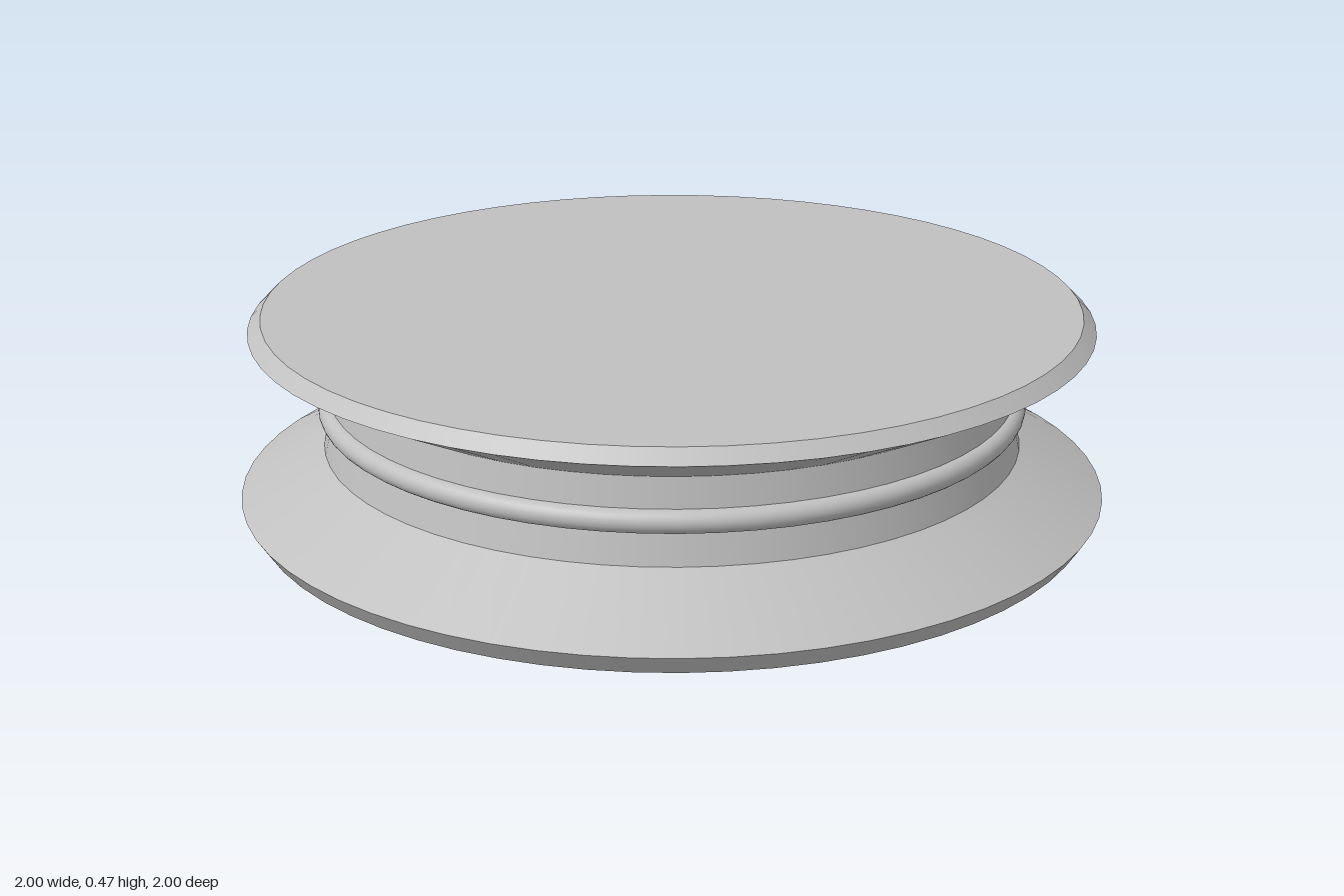
import * as THREE from 'three';

const SEGMENTS = 64;
const BEAD_RADIUS = 0.026, BEAD_Y = 0.253, BEAD_CENTRE = 0.79;

export function createModel() {
  const model = new THREE.Group();
  model.name = 'flangedSpool';
  const grey = new THREE.MeshStandardMaterial({ color: 0xc0c0c0 });
  grey.name = 'plain grey';

  // Revolve one smooth band; separate bands keep the edges between them sharp
  const band = (parent, name, points) => {
    const profile = points.map(([r, y]) => new THREE.Vector2(r, y));
    const mesh = new THREE.Mesh(new THREE.LatheGeometry(profile, SEGMENTS), grey);
    mesh.name = name;
    parent.add(mesh);
  };
  const part = (name) => {
    const group = new THREE.Group();
    group.name = name;
    model.add(group);
    return group;
  };

  // Wide lower flange
  const lower = part('lowerFlange');
  band(lower, 'bottomFace', [[0, 0], [0.97, 0]]);
  band(lower, 'lowerRim', [[0.97, 0], [1, 0.046]]);
  band(lower, 'lowerSlope', [[1, 0.046], [0.806, 0.158]]);

  // Tapered neck with a rounded bead around its middle
  const neck = part('neck');
  band(neck, 'lowerNeck', [[0.806, 0.158], [BEAD_CENTRE, BEAD_Y - BEAD_RADIUS]]);
  const arc = [];
  for (let i = 0; i <= 12; i++) {
    const a = -Math.PI / 2 + (Math.PI * i) / 12;
    arc.push([BEAD_CENTRE + BEAD_RADIUS * Math.cos(a), BEAD_Y + BEAD_RADIUS * Math.sin(a)]);
  }
  band(neck, 'bead', arc);
  band(neck, 'upperNeck', [[BEAD_CENTRE, BEAD_Y + BEAD_RADIUS], [0.779, 0.346]]);

  // Slightly smaller upper flange
  const upper = part('upperFlange');
  band(upper, 'upperSlope', [[0.779, 0.346], [0.966, 0.44]]);
  band(upper, 'upperRim', [[0.966, 0.44], [0.936, 0.47]]);
  band(upper, 'topFace', [[0.936, 0.47], [0, 0.47]]);

  return model;
}
